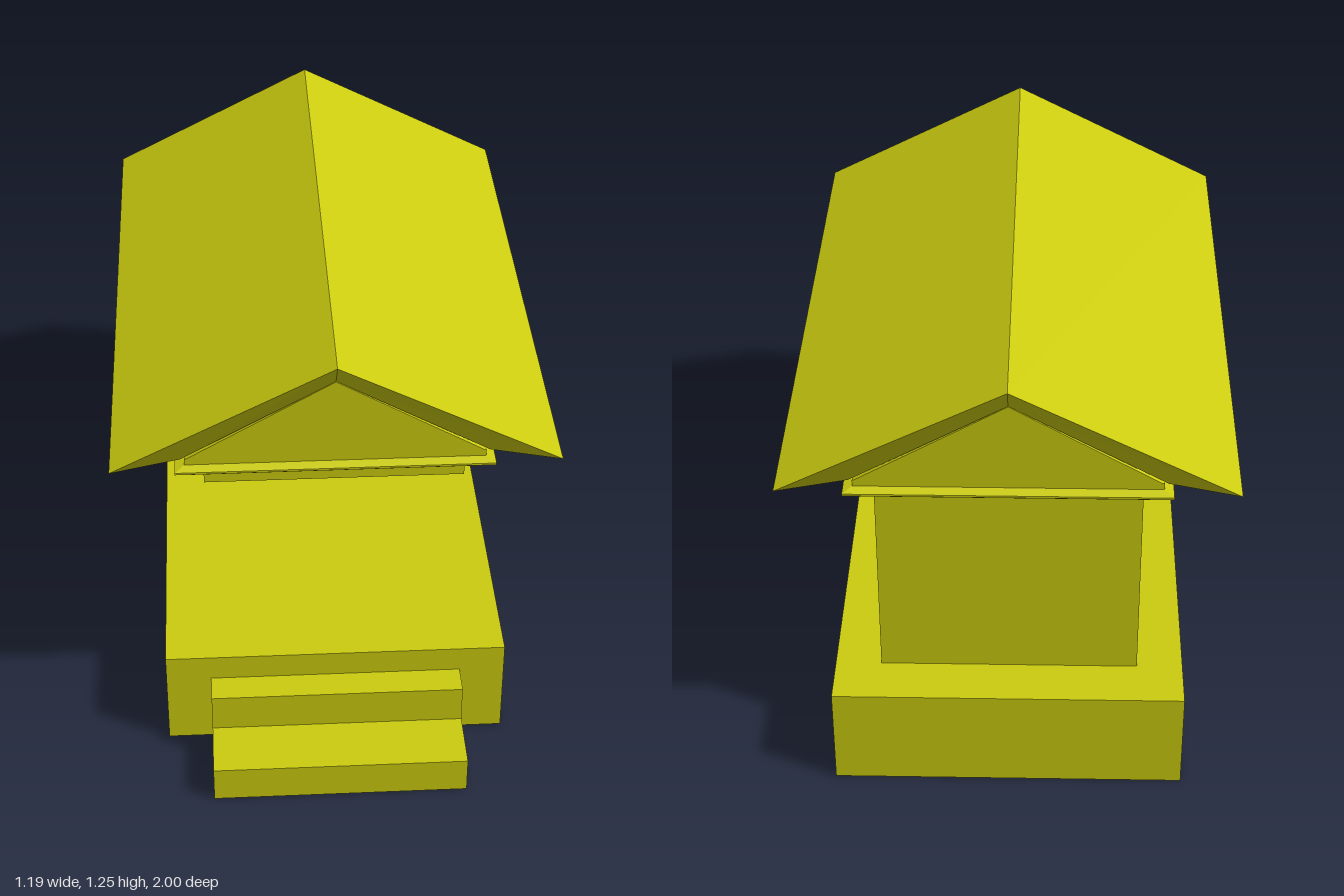
import * as THREE from 'three';

const material = new THREE.MeshStandardMaterial({ color: 0xcccc10, flatShading: true });
const MID_Z = -0.105; // centre of the building and its roof along z

function add(group, name, geometry, x = 0, y = 0, z = 0) {
  const mesh = new THREE.Mesh(geometry, material);
  mesh.name = name;
  mesh.position.set(x, y, z);
  group.add(mesh);
  return mesh;
}

// Box given by half width, height range and depth range
function block(group, name, halfX, y0, y1, z0, z1) {
  return add(group, name, new THREE.BoxGeometry(halfX * 2, y1 - y0, z1 - z0), 0, (y0 + y1) / 2, (z0 + z1) / 2);
}

// Flat-shaded skin over one or more grids of points
function skin(...grids) {
  const points = [];
  for (const rows of grids) {
    for (let i = 0; i < rows.length - 1; i++) {
      for (let j = 0; j < rows[i].length - 1; j++) {
        const a = rows[i][j], b = rows[i][j + 1], c = rows[i + 1][j + 1], d = rows[i + 1][j];
        points.push(...a, ...b, ...c, ...a, ...c, ...d);
      }
    }
  }
  const geometry = new THREE.BufferGeometry();
  geometry.setAttribute('position', new THREE.Float32BufferAttribute(points, 3));
  geometry.computeVertexNormals();
  return geometry;
}

function polygon(points) {
  return new THREE.Shape(points.map(([x, y]) => new THREE.Vector2(x, y)));
}

function extrude(shape, depth) {
  return new THREE.ExtrudeGeometry(shape, { depth, bevelEnabled: false });
}

export function createModel() {
  const model = new THREE.Group();
  model.name = 'temple';

  // Platform and the two front steps
  block(model, 'platform', 0.475, 0, 0.29, -1, 0.745);
  block(model, 'upperStep', 0.35, 0, 0.215, 0.745, 0.83);
  block(model, 'lowerStep', 0.35, 0, 0.105, 0.83, 1);

  // Chamber: solid rear, front wall with a deep doorway
  block(model, 'chamberRear', 0.35, 0.29, 0.83, -0.86, -0.62);
  const wall = polygon([[-0.35, 0.29], [0.35, 0.29], [0.35, 0.83], [-0.35, 0.83]]);
  wall.holes.push(polygon([[-0.172, 0.302], [-0.172, 0.74], [0.172, 0.74], [0.172, 0.302]]));
  add(model, 'doorwayWall', extrude(wall, 0.25), 0, 0, -0.62);

  // Beam over chamber and porch
  block(model, 'entablature', 0.35, 0.83, 0.875, -0.86, 0.65);

  // Cornice: rectangular rings of [outward offset, height]
  const profile = [[0, 0.868], [0.035, 0.882], [0.042, 0.892], [0.075, 0.912], [0.075, 0.918], [0.05, 0.926], [0.05, 0.945]];
  const rings = profile.map(([o, y]) =>
    [[-1, 1], [1, 1], [1, -1], [-1, -1], [-1, 1]].map(([sx, sz]) =>
      [sx * (0.35 + o), y, MID_Z + sz * (0.755 + o)]));
  add(model, 'cornice', skin(rings));

  // Triangular gable body under the roof
  add(model, 'pediment', extrude(polygon([[-0.4, 0.942], [0.4, 0.942], [0, 1.175]]), 1.61), 0, 0, MID_Z - 0.805);

  // Roof: outer slopes, splayed gable ends and eave soffits
  const outer = (z) => [[-0.595, 0.95, z], [0, 1.255, z], [0.595, 0.95, z]];
  const inner = (z) => [[-0.41, 0.945, z], [0, 1.177, z], [0.41, 0.945, z]];
  const outerFront = outer(MID_Z + 0.865), outerBack = outer(MID_Z - 0.865);
  const innerFront = inner(MID_Z + 0.805), innerBack = inner(MID_Z - 0.805);
  add(model, 'roof', skin(
    [outerFront, outerBack, innerBack, innerFront, outerFront],
    [[innerFront[0], outerFront[0]], [innerBack[0], outerBack[0]]],
    [[outerFront[2], innerFront[2]], [outerBack[2], innerBack[2]]],
  ));

  return model;
}
